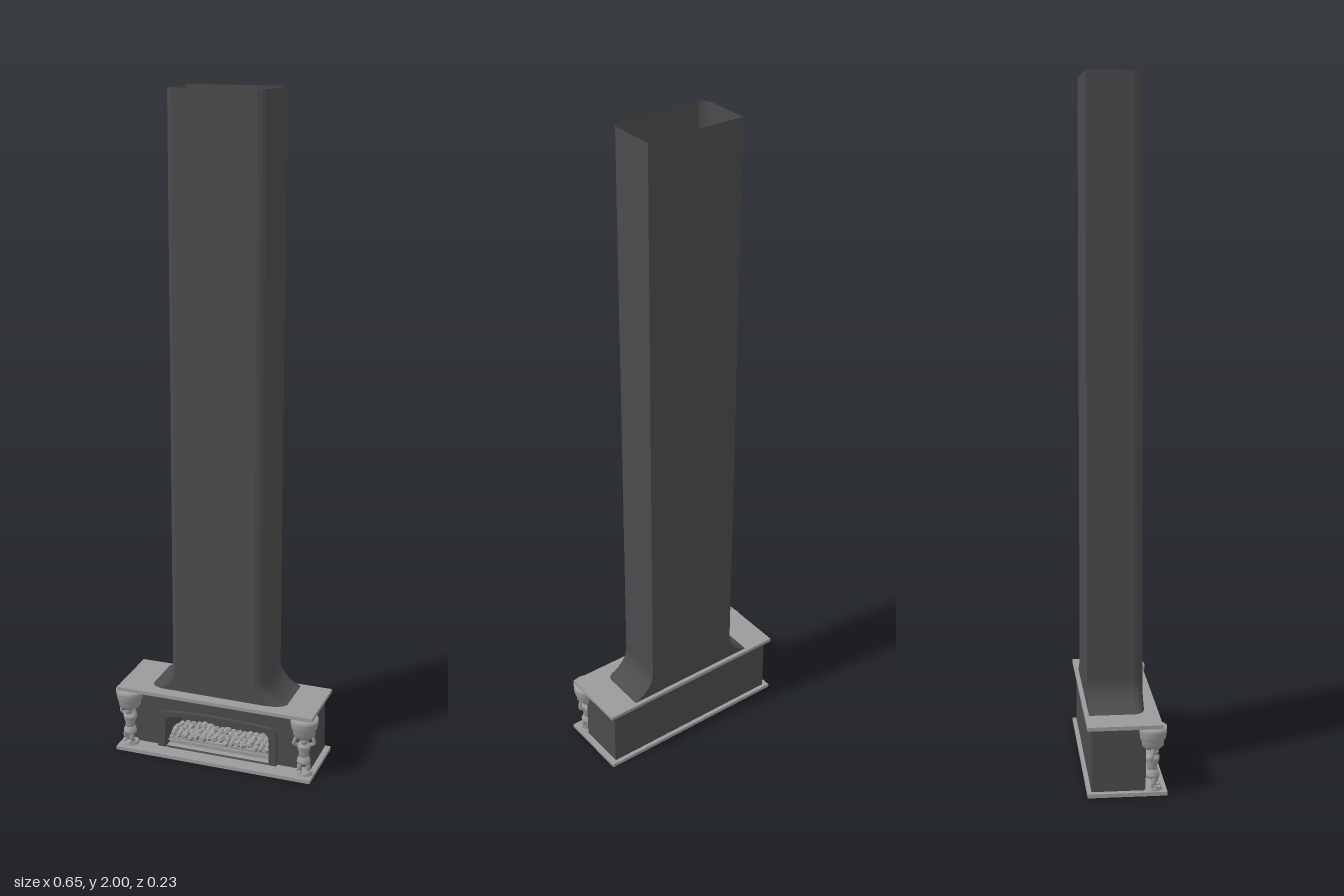
import * as THREE from 'three';

const mat = (name, color, double) => {
  const m = new THREE.MeshStandardMaterial({ color });
  m.name = name;
  if (double) m.side = THREE.DoubleSide;
  return m;
};

export function createModel() {
  const root = new THREE.Group();
  root.name = 'fireplace';
  const soot = mat('dark masonry', 0x4b4b4d, true);
  const stone = mat('light stone', 0x9b9b9b);

  const add = (parent, name, geo, material, x = 0, y = 0, z = 0) => {
    const m = new THREE.Mesh(geo, material);
    m.name = name;
    m.position.set(x, y, z);
    parent.add(m);
    return m;
  };
  const box = (parent, name, material, x0, x1, y0, y1, z0, z1) =>
    add(parent, name, new THREE.BoxGeometry(x1 - x0, y1 - y0, z1 - z0), material,
      (x0 + x1) / 2, (y0 + y1) / 2, (z0 + z1) / 2);

  // Hearth slab and mantel shelf
  box(root, 'hearthSlab', stone, -0.312, 0.312, 0, 0.011, -0.115, 0.11);
  box(root, 'mantelShelf', stone, -0.312, 0.312, 0.195, 0.206, -0.115, 0.097);

  // Arched outline with rounded shoulders
  const arch = (Type, w, h, r) => {
    const s = new Type();
    s.moveTo(-w, 0.011);
    s.lineTo(-w, h - r);
    s.quadraticCurveTo(-w, h - 0.006, -w + r, h - 0.006);
    s.quadraticCurveTo(0, h + 0.006, w - r, h - 0.006);
    s.quadraticCurveTo(w, h - 0.006, w, h - r);
    s.lineTo(w, 0.011);
    s.closePath();
    return s;
  };
  const extrude = (shape, depth) =>
    new THREE.ExtrudeGeometry(shape, { depth, bevelEnabled: false, curveSegments: 8 });

  // Surround: two piers and the wall over the arch in one extrusion
  const wall = new THREE.Shape();
  wall.moveTo(-0.295, 0.011);
  wall.lineTo(-0.168, 0.011);
  wall.lineTo(-0.168, 0.085);
  wall.quadraticCurveTo(-0.168, 0.119, -0.133, 0.119);
  wall.quadraticCurveTo(0, 0.131, 0.133, 0.119);
  wall.quadraticCurveTo(0.168, 0.119, 0.168, 0.085);
  wall.lineTo(0.168, 0.011);
  wall.lineTo(0.295, 0.011);
  wall.lineTo(0.295, 0.195);
  wall.lineTo(-0.295, 0.195);
  wall.closePath();
  add(root, 'surround', extrude(wall, 0.135), soot, 0, 0, -0.085);
  box(root, 'backWall', soot, -0.295, 0.295, 0.011, 0.195, -0.103, -0.085);

  // Raised moulding round the opening
  const trim = arch(THREE.Shape, 0.192, 0.138, 0.035);
  trim.holes.push(arch(THREE.Path, 0.168, 0.125, 0.035));
  add(root, 'archMoulding', extrude(trim, 0.012), soot, 0, 0, 0.05);

  // Bed of coals: rows of small stones behind a low bar
  const fire = new THREE.Group();
  fire.name = 'coalBed';
  root.add(fire);
  let seed = 7;
  const rnd = () => (seed = (seed * 16807) % 2147483647) / 2147483647;
  box(fire, 'coalBase', stone, -0.166, 0.166, 0.011, 0.034, -0.055, 0.03);
  const lump = new THREE.DodecahedronGeometry(0.013, 0);
  for (let row = 0; row < 5; row++) {
    for (let i = 0; i < 17; i++) {
      const c = add(fire, 'coal', lump, stone, -0.152 + i * 0.019,
        0.038 + rnd() * 0.01, -0.045 + row * 0.018);
      c.rotation.set(rnd() * 3, rnd() * 3, rnd() * 3);
      c.scale.setScalar(0.75 + rnd() * 0.3);
    }
  }
  box(fire, 'grateBar', stone, -0.166, 0.166, 0.024, 0.029, 0.036, 0.041);

  // Chimney: flared foot, then a straight open shaft with rounded front corners
  const section = (flare, y) => {
    const w = 0.15 + flare;
    const f = 0.12 + flare * 0.55;
    const pts = [[-w, -0.103], [w, -0.103], [w, 0.031]];
    for (const t of [0.25, 0.5, 0.75]) {
      const a = (1 - t) * (1 - t), b = 2 * t * (1 - t), c = t * t;
      pts.push([a * w + b * (w - 0.004) + c * f, a * 0.031 + b * 0.057 + c * 0.062]);
    }
    pts.push([f, 0.062]);
    for (let i = 5; i >= 2; i--) pts.push([-pts[i][0], pts[i][1]]);
    return pts.map(([x, z]) => new THREE.Vector3(x, y, z));
  };
  const rings = [];
  for (let i = 0; i <= 8; i++) {
    const t = i / 8;
    rings.push(section(0.066 * (1 - t) ** 2, 0.206 + 0.08 * t ** 1.2));
  }
  rings.push(section(0, 2));
  const pos = [];
  const n = rings[0].length;
  for (let r = 0; r < rings.length - 1; r++) {
    for (let i = 0; i < n; i++) {
      const j = (i + 1) % n;
      const a = rings[r][i], b = rings[r][j], c = rings[r + 1][j], d = rings[r + 1][i];
      for (const p of [a, d, b, b, d, c]) pos.push(p.x, p.y, p.z);
    }
  }
  const shaft = new THREE.BufferGeometry();
  shaft.setAttribute('position', new THREE.Float32BufferAttribute(pos, 3));
  shaft.computeVertexNormals();
  add(root, 'chimney', shaft, soot);

  // Carved corner figures carrying wide capitals
  const lathe = (pts, seg) =>
    new THREE.LatheGeometry(pts.map(([x, y]) => new THREE.Vector2(x, y)), seg);
  const capital = lathe([[0, 0.128], [0.022, 0.13], [0.034, 0.142], [0.034, 0.155],
    [0.038, 0.16], [0.04, 0.17], [0.042, 0.182], [0.042, 0.195], [0, 0.195]], 14);
  const torso = lathe([[0, 0.062], [0.016, 0.064], [0.014, 0.078], [0.02, 0.098],
    [0.021, 0.107], [0.008, 0.113], [0, 0.114]], 12);
  const skirt = lathe([[0, 0.046], [0.02, 0.046], [0.021, 0.054], [0.015, 0.07], [0, 0.07]], 12);
  const ball = new THREE.SphereGeometry(1, 12, 8);
  const limb = (parent, name, r, ...pts) => add(parent, name, new THREE.TubeGeometry(
    new THREE.CatmullRomCurve3(pts.map(p => new THREE.Vector3(...p))), 8, r, 7), stone);
  for (const side of [1, -1]) {
    const fig = new THREE.Group();
    fig.name = side > 0 ? 'leftFigure' : 'rightFigure';
    fig.position.set(side * 0.281, 0, 0.07);
    fig.rotation.y = side * 0.35;
    root.add(fig);
    add(fig, 'capital', capital, stone);
    add(fig, 'torso', torso, stone);
    add(fig, 'skirt', skirt, stone);
    add(fig, 'head', ball, stone, 0, 0.122, 0.006).scale.set(0.012, 0.014, 0.013);
    add(fig, 'plinth', new THREE.CylinderGeometry(0.025, 0.028, 0.008, 12), stone, 0, 0.015, 0);
    for (const s of [1, -1]) {
      limb(fig, 'leg', 0.0075, [s * 0.01, 0.058, 0], [s * 0.013, 0.038, 0.008], [s * 0.012, 0.016, 0]);
      add(fig, 'foot', ball, stone, s * 0.012, 0.021, 0.008).scale.set(0.007, 0.005, 0.013);
      limb(fig, 'arm', 0.0055, [s * 0.019, 0.105, 0], [s * 0.03, 0.112, 0.006], [s * 0.024, 0.137, 0.008]);
    }
  }
  return root;
}
